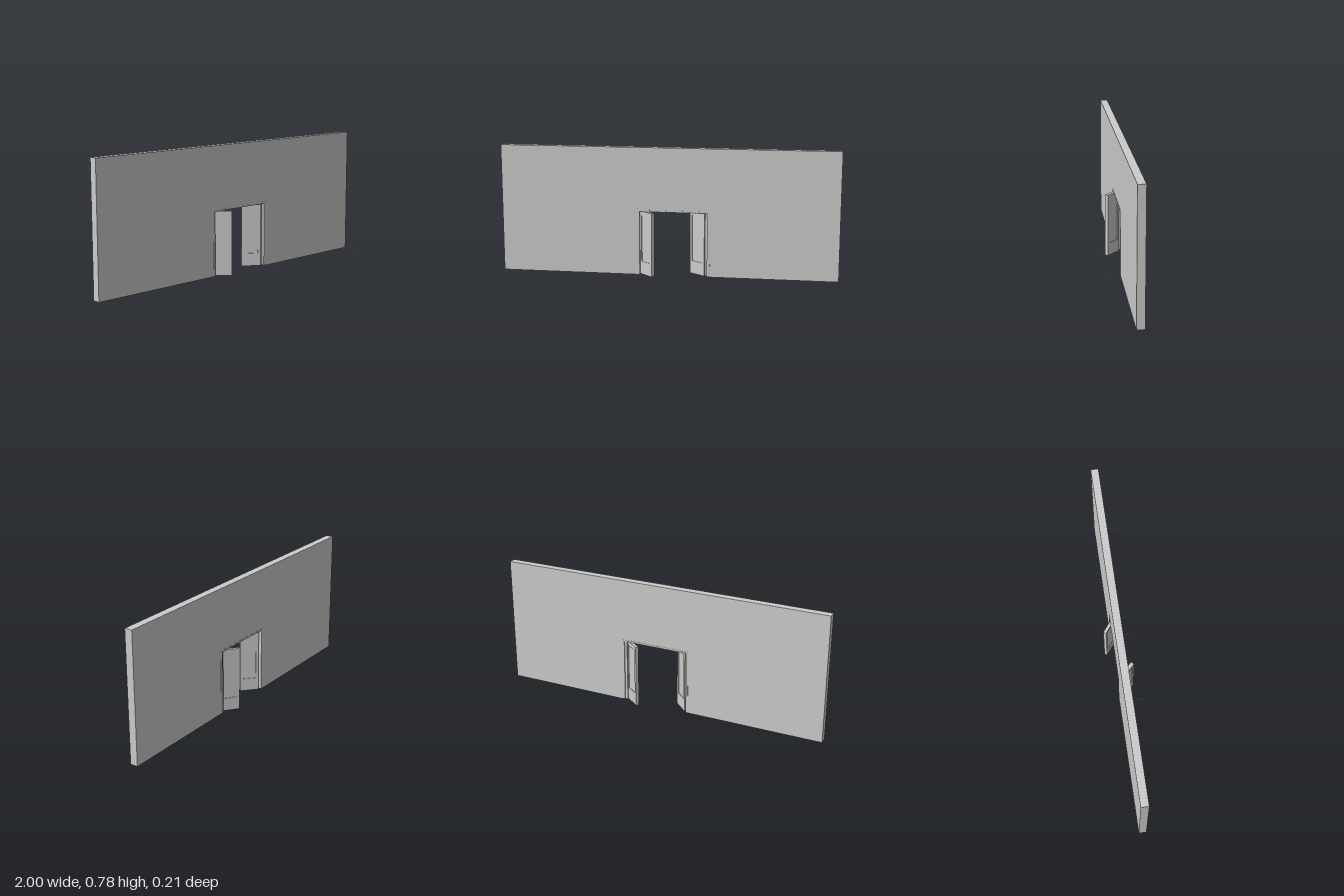
import * as THREE from 'three';

const grey = new THREE.MeshStandardMaterial({ color: 0xcccccc, side: THREE.DoubleSide });

// Box given by its limits on each axis
function block(name, [x0, x1], [y0, y1], [z0, z1]) {
  const mesh = new THREE.Mesh(new THREE.BoxGeometry(x1 - x0, y1 - y0, z1 - z0), grey);
  mesh.position.set((x0 + x1) / 2, (y0 + y1) / 2, (z0 + z1) / 2);
  mesh.name = name;
  return mesh;
}

function rectangle(Type, x0, x1, y0, y1) {
  return new Type([[x0, y0], [x1, y0], [x1, y1], [x0, y1]].map(([x, y]) => new THREE.Vector2(x, y)));
}

// Door leaf from local x0 to x1 with a recessed panel; its front face is at local z = 0
function door(name, x0, x1, thickness) {
  const leaf = new THREE.Group();
  leaf.name = name;
  const margin = 0.017;
  const outline = rectangle(THREE.Shape, x0, x1, 0.02, 0.4);
  outline.holes.push(rectangle(THREE.Path, x0 + margin, x1 - margin, 0.097, 0.375));
  const rim = new THREE.Mesh(new THREE.ExtrudeGeometry(outline, { depth: thickness, bevelEnabled: false }), grey);
  rim.position.z = -thickness;
  rim.name = 'doorRim';
  const panel = block('doorPanel', [x0 + margin, x1 - margin], [0.097, 0.375], [-thickness + 0.004, -0.004]);
  leaf.add(rim, panel);
  return leaf;
}

export function createModel() {
  const model = new THREE.Group();
  model.name = 'wallWithDoorway';

  // Wall with a doorway open at the bottom
  const shape = new THREE.Shape([
    [-1, 0.018], [-0.175, 0.018], [-0.175, 0.405], [0.245, 0.405],
    [0.245, 0.018], [1, 0.018], [1, 0.78], [-1, 0.78],
  ].map(([x, y]) => new THREE.Vector2(x, y)));
  const wall = new THREE.Mesh(new THREE.ExtrudeGeometry(shape, { depth: 0.045, bevelEnabled: false }), grey);
  wall.position.z = -0.065;
  wall.name = 'wall';
  model.add(wall);

  // Door frame, barely proud of the wall
  const depth = [-0.0665, -0.019];
  const frame = new THREE.Group();
  frame.name = 'doorFrame';
  frame.add(
    block('rightJamb', [-0.18, -0.168], [0.02, 0.41], depth),
    block('leftJamb', [0.232, 0.25], [0.02, 0.41], depth),
    block('leftDoorStop', [0.217, 0.232], [0.02, 0.4], [-0.06, -0.035]),
    block('lintel', [-0.168, 0.232], [0.4, 0.41], depth),
  );
  model.add(frame);

  // Two leaves swung in opposite directions
  const rightDoor = door('rightDoor', -0.112, 0, 0.022);
  rightDoor.position.set(-0.088, 0, 0.036);
  rightDoor.rotation.y = -0.75;
  const leftDoor = door('leftDoor', 0, 0.117, 0.018);
  leftDoor.position.set(0.122, 0, -0.1);
  leftDoor.rotation.y = -0.65;
  model.add(rightDoor, leftDoor);

  // Thin slivers lying on the floor in front of the wall
  for (const [x, z1] of [[-0.183, 0.1], [0.252, 0.085], [0.997, 0.09]]) {
    const sliver = new THREE.Shape([new THREE.Vector2(-0.002, -0.04), new THREE.Vector2(0.002, -0.04), new THREE.Vector2(0, -z1)]);
    const mesh = new THREE.Mesh(new THREE.ShapeGeometry(sliver), grey);
    mesh.rotation.x = -Math.PI / 2;
    mesh.position.x = x;
    mesh.name = 'floorSliver';
    model.add(mesh);
  }
  return model;
}
